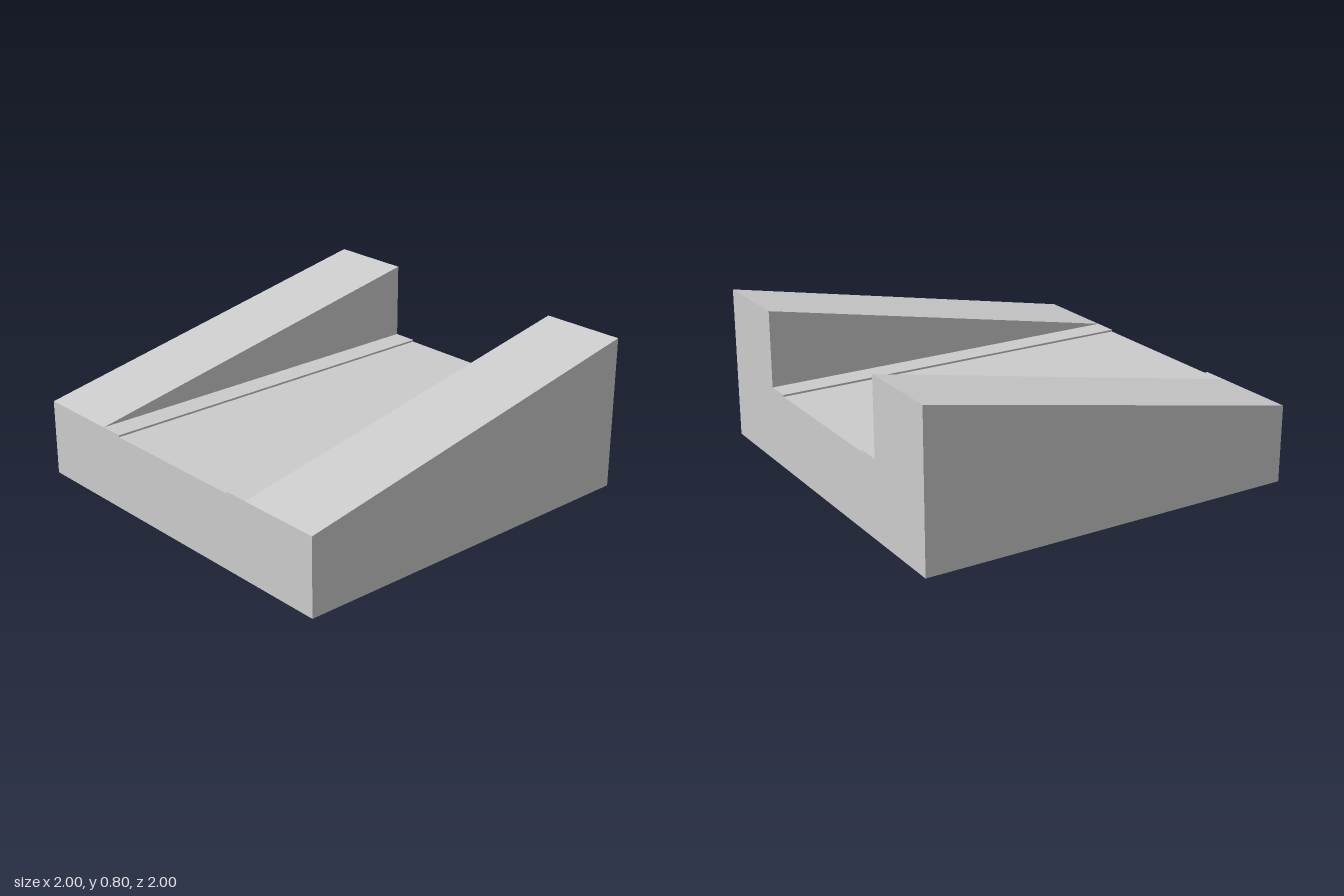
import * as THREE from 'three';

// Open-bottomed sheet shell: a shallow channel between two wedge ramps.
const material = new THREE.MeshStandardMaterial({
  color: 0xcccccc, flatShading: true, side: THREE.DoubleSide,
});

const OUT = 1, RAMP = 0.55, GROOVE = 0.42;
const LOW = 0.4, HIGH = 0.8, FLOOR = 0.39;

// Half cross-section from the outer bottom edge to the channel, at a ramp height
const halfProfile = (h) => [
  [OUT, 0], [OUT, h], [RAMP, h], [RAMP, LOW], [GROOVE, LOW], [GROOVE, FLOOR],
];

// Full cross-section, left (+x) to right (-x)
function profile(h) {
  const half = halfProfile(h);
  return [...half, ...half.map(([x, y]) => [-x, y]).reverse()];
}

// Flat panel spanning one profile segment from front to back
function panel(name, f0, f1, b0, b1) {
  const corners = [[...f0, 1], [...f1, 1], [...b1, -1], [...b0, -1]];
  // the ramp's inner wall has no height at the front, so it is one triangle
  const collapsed = f0[0] === f1[0] && f0[1] === f1[1];
  const order = collapsed ? [0, 3, 2] : [0, 3, 1, 1, 3, 2];
  const geometry = new THREE.BufferGeometry();
  geometry.setAttribute('position',
    new THREE.Float32BufferAttribute(order.flatMap((i) => corners[i]), 3));
  geometry.computeVertexNormals();
  const mesh = new THREE.Mesh(geometry, material);
  mesh.name = name;
  return mesh;
}

// End wall cut to the cross-section
function endWall(name, h, z) {
  const shape = new THREE.Shape(
    profile(h)
      .filter(([x, y], i, a) => i === 0 || x !== a[i - 1][0] || y !== a[i - 1][1])
      .map(([x, y]) => new THREE.Vector2(x, y)));
  const mesh = new THREE.Mesh(new THREE.ShapeGeometry(shape), material);
  mesh.name = name;
  mesh.position.z = z;
  if (z < 0) mesh.rotation.y = Math.PI; // symmetric, so turn it to face back
  return mesh;
}

export function createModel() {
  const group = new THREE.Group();
  group.name = 'rampedChannel';

  // Side walls, ramps, ledges and channel floor
  const names = ['SideWall', 'RampTop', 'RampInnerWall', 'Ledge', 'ChannelStep'];
  const front = profile(LOW), back = profile(HIGH);
  for (let i = 0; i < front.length - 1; i++) {
    const name = i < 5 ? 'left' + names[i] : i > 5 ? 'right' + names[10 - i] : 'channelFloor';
    group.add(panel(name, front[i], front[i + 1], back[i], back[i + 1]));
  }

  // Front and back walls
  group.add(endWall('frontWall', LOW, 1), endWall('backWall', HIGH, -1));
  return group;
}
